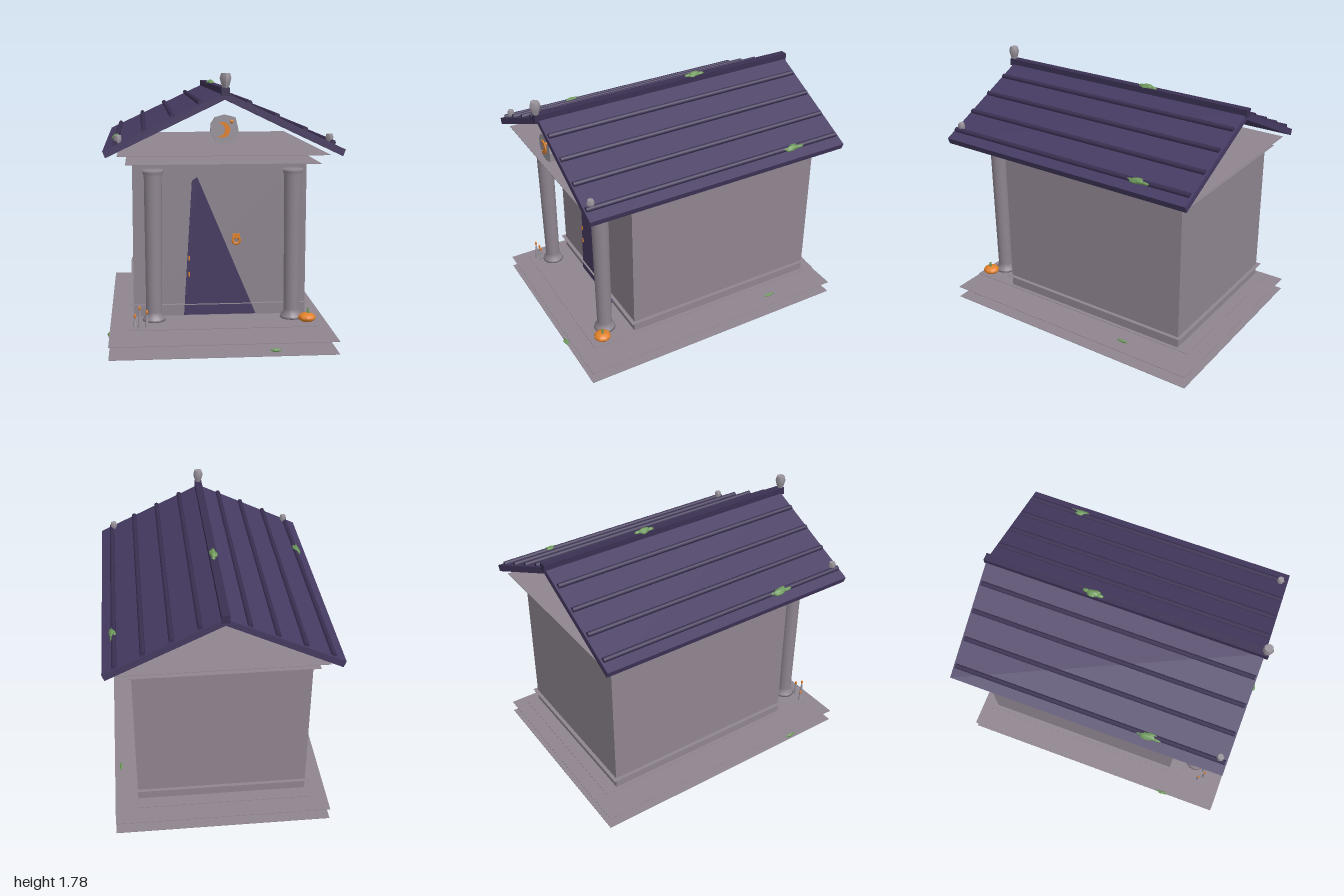
import * as THREE from 'three';

const mat = (name, color) => {
  const m = new THREE.MeshStandardMaterial({ color, side: THREE.DoubleSide });
  m.name = name;
  return m;
};

export function createModel() {
  const root = new THREE.Group();
  const stone = mat('stone', 0x8f8590);
  const paleStone = mat('pale stone', 0x9a949c);
  const purple = mat('roof purple', 0x463b62);
  const darkPurple = mat('trim purple', 0x3a3052);
  const orange = mat('orange', 0xe0812a);
  const green = mat('moss green', 0x6f9a5c);

  const add = (name, geo, material, x = 0, y = 0, z = 0, parent = root) => {
    const m = new THREE.Mesh(geo, material);
    m.name = name;
    m.position.set(x, y, z);
    parent.add(m);
    return m;
  };
  // Thin horizontal slab given by half width and z range
  const plate = (name, y, hw, z0, z1) =>
    add(name, new THREE.BoxGeometry(hw * 2, 0.003, z1 - z0), stone, 0, y, (z0 + z1) / 2);
  const extrude = (pts, depth) => new THREE.ExtrudeGeometry(
    new THREE.Shape(pts.map(p => new THREE.Vector2(p[0], p[1]))), { depth, bevelEnabled: false });
  // Faceted lump, wider at the top than at the bottom
  const lump = (name, r, x, y, z) => {
    const geo = new THREE.CylinderGeometry(r * 0.6, r * 0.6, r * 2, 7, 3);
    const p = geo.attributes.position;
    for (let i = 0; i < p.count; i++) {
      const t = p.getY(i) / r;
      const s = 1.35 - Math.abs(t - 0.33) * 0.45;
      p.setX(i, p.getX(i) * s);
      p.setZ(i, p.getZ(i) * s);
    }
    geo.computeVertexNormals();
    return add(name, geo, paleStone, x, y, z);
  };

  // Stepped floor
  plate('bottomStep', 0.0015, 0.735, -1, 0.97);
  plate('middleStep', 0.085, 0.735, -1, 0.97);
  plate('topStep', 0.164, 0.6, -0.94, 0.885);
  plate('wallPlinth', 0.245, 0.6, -0.875, 0.595);

  // Chamber and ceiling slabs
  add('chamber', new THREE.BoxGeometry(1.15, 1.045, 1.42), stone, 0, 0.6875, -0.14);
  plate('lowerCornice', 1.215, 0.615, -0.9, 0.86);
  plate('upperCornice', 1.273, 0.665, -0.94, 0.9);

  // Columns
  const profile = [[0, 0.19], [0.075, 0.19], [0.07, 0.205], [0.054, 0.225], [0.051, 0.25],
    [0.057, 1.13], [0.066, 1.155], [0.066, 1.172], [0, 1.172]]
    .map(p => new THREE.Vector2(p[0], p[1]));
  for (const x of [-0.443, 0.455])
    add('column', new THREE.LatheGeometry(profile, 16), stone, x, 0, 0.74);

  // Roof slopes with battens
  const slope = 0.473;
  for (const s of [-1, 1]) {
    const pts = [[0, 1.665], [s * 0.75, 1.31], [s * 0.734, 1.268], [0, 1.62]];
    add('roofSlope', extrude(pts, 1.905), purple, 0, 0, -0.97);
    for (const x of [0.15, 0.322, 0.497, 0.672]) {
      const b = add('roofBatten', new THREE.CylinderGeometry(0.017, 0.017, 1.88, 8), darkPurple,
        s * x, 1.671 - slope * x, -0.015);
      b.rotation.x = Math.PI / 2;
    }
    lump('cornerFinial', 0.032, s * 0.657, 1.372, 0.885);
  }
  add('ridgeBeam', new THREE.BoxGeometry(0.052, 0.05, 1.94), darkPurple, 0, 1.668, -0.01);
  lump('ridgeFinial', 0.045, 0, 1.735, 0.942);

  // Medallion with crescent
  const disc = [[-0.06, 1.51], [0, 1.527], [0.066, 1.51], [0.086, 1.43], [0.072, 1.362],
    [0, 1.347], [-0.055, 1.362], [-0.088, 1.42], [-0.085, 1.47]];
  add('medallion', extrude(disc, 0.04), paleStone, 0, 0, 0.86);
  const moon = new THREE.Shape();
  moon.absarc(-0.015, 1.435, 0.048, -2.2, 2.0, false);
  moon.absarc(-0.04, 1.435, 0.04, 1.5, -1.7, true);
  add('crescent', new THREE.ExtrudeGeometry(moon, { depth: 0.008, bevelEnabled: false }), orange, 0, 0, 0.9);
  add('medallionStud', new THREE.SphereGeometry(0.012, 8, 6), orange, 0.042, 1.485, 0.902);

  // Door, ring handle and hinges
  add('door', extrude([[-0.24, 0.172], [0.24, 0.172], [-0.15, 1.1], [-0.185, 1.075]], 0.012), purple, 0, 0, 0.57);
  add('doorRing', new THREE.TorusGeometry(0.023, 0.009, 8, 14), orange, 0.108, 0.675, 0.582);
  add('ringMount', new THREE.BoxGeometry(0.05, 0.025, 0.02), orange, 0.108, 0.705, 0.58);
  for (const y of [0.45, 0.56])
    add('hinge', new THREE.BoxGeometry(0.012, 0.03, 0.006), orange, -0.205, y, 0.584);

  // Pumpkin with ribs
  const pumpkin = new THREE.SphereGeometry(0.057, 32, 12);
  const pp = pumpkin.attributes.position;
  for (let i = 0; i < pp.count; i++) {
    const x = pp.getX(i), z = pp.getZ(i);
    const k = 0.95 + 0.06 * Math.abs(Math.cos(Math.atan2(z, x) * 4));
    pp.setXYZ(i, x * k, pp.getY(i) * 0.53, z * k);
  }
  pumpkin.computeVertexNormals();
  add('pumpkin', pumpkin, orange, 0.548, 0.203, 0.803);
  add('pumpkinStem', new THREE.CylinderGeometry(0.006, 0.01, 0.04, 6), green, 0.555, 0.246, 0.803);

  // Candles
  for (const [x, h, z] of [[-0.567, 0.05, 0.8], [-0.537, 0.11, 0.835], [-0.49, 0.08, 0.82]]) {
    add('candle', new THREE.CylinderGeometry(0.005, 0.014, h, 8), paleStone, x, 0.166 + h / 2, z);
    const flame = add('flame', new THREE.SphereGeometry(0.008, 8, 6), orange, x, 0.186 + h, z);
    flame.scale.y = 2;
  }

  // Moss clumps: overlapping flattened lumps
  const moss = (x, y, z, sx, sy, sz, tilt = 0) => {
    const g = new THREE.Group();
    g.name = 'mossClump';
    g.position.set(x, y, z);
    g.rotation.z = tilt;
    for (const [dx, dz, r] of [[0, 0, 0.62], [0.35, 0.25, 0.4], [-0.4, -0.1, 0.4], [0.1, -0.6, 0.38], [-0.1, 0.6, 0.38]]) {
      const m = add('moss', new THREE.IcosahedronGeometry(r, 1), green, dx * sx, 0, dz * sz, g);
      m.scale.set(sx, sy, sz);
    }
    root.add(g);
  };
  moss(0, 1.692, -0.225, 0.036, 0.04, 0.075);
  moss(0.68, 1.355, -0.59, 0.032, 0.03, 0.09, -0.44);
  moss(-0.68, 1.355, 0.4, 0.036, 0.03, 0.1, 0.44);
  moss(0.32, 0.045, 0.98, 0.045, 0.02, 0.018);
  moss(-0.74, 0.045, 0.57, 0.015, 0.022, 0.05);
  moss(0.688, 0.14, -0.485, 0.015, 0.018, 0.045);

  return root;
}
